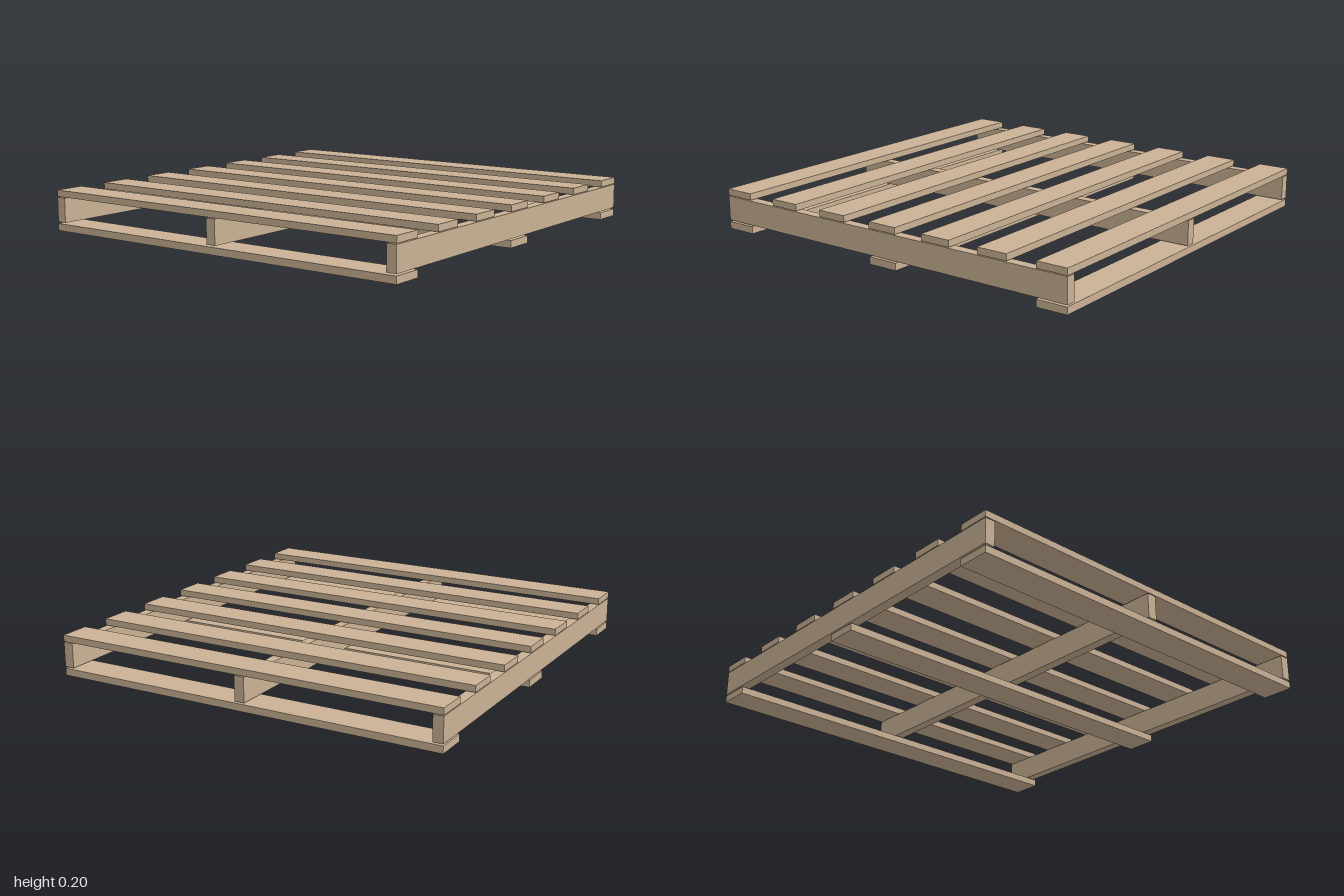
import * as THREE from 'three';

export function createModel() {
  const pallet = new THREE.Group();
  pallet.name = 'pallet';

  const wood = new THREE.MeshStandardMaterial({ color: 0xc9b195 });
  wood.name = 'paleWood';

  const halfX = 0.995;
  const boardWidth = 0.155;
  const stringerWidth = 0.05;

  // Box spanning yMin..yMax, centred at x and z
  function plank(name, width, depth, yMin, yMax, x, z) {
    const mesh = new THREE.Mesh(new THREE.BoxGeometry(width, yMax - yMin, depth), wood);
    mesh.name = name;
    mesh.position.set(x, (yMin + yMax) / 2, z);
    pallet.add(mesh);
  }

  // Evenly spaced boards running across x, flush with the front and back
  function deck(name, count, yMin, yMax) {
    const span = 2 - boardWidth;
    for (let i = 0; i < count; i++) {
      const z = -span / 2 + (i * span) / (count - 1);
      plank(name + (i + 1), halfX * 2, boardWidth, yMin, yMax, 0, z);
    }
  }

  deck('topBoard', 7, 0.168, 0.2);
  deck('bottomBoard', 3, 0, 0.035);

  // Three stringers running front to back, with a thin gap to each deck
  ['rightStringer', 'middleStringer', 'leftStringer'].forEach((name, i) => {
    plank(name, stringerWidth, 2, 0.043, 0.164, (i - 1) * (halfX - stringerWidth / 2), 0);
  });

  return pallet;
}
